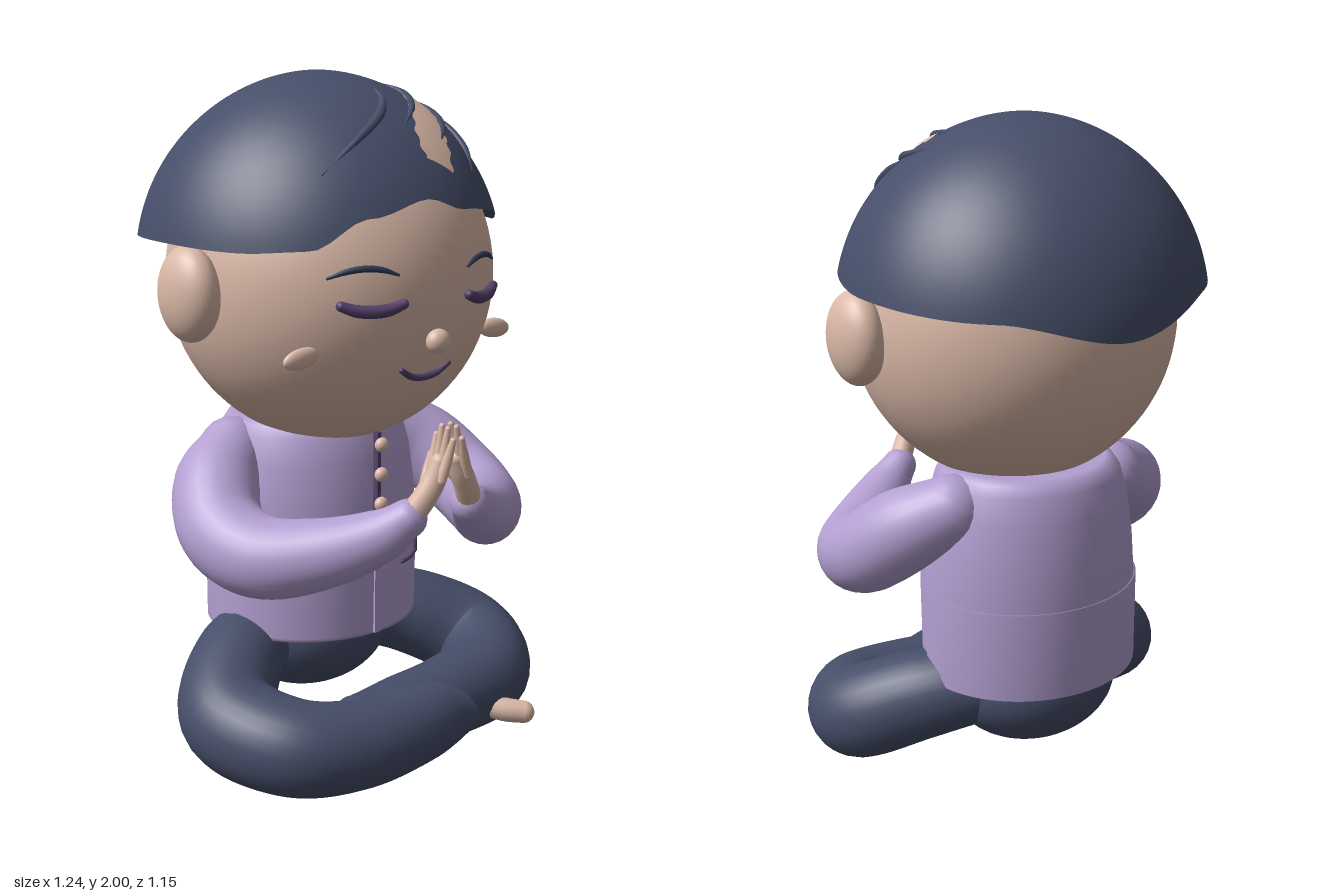
import * as THREE from 'three';
import { mergeGeometries } from 'three/addons/utils/BufferGeometryUtils.js';

const mat = (name, color, side = THREE.FrontSide) => {
  const m = new THREE.MeshStandardMaterial({ color, side });
  m.name = name;
  return m;
};
const V = (p) => new THREE.Vector3(...p);

// Tube along points with a radius per point, rounded at both ends
function sweep(points, radii, segs = 32, sides = 20) {
  const curve = new THREE.CatmullRomCurve3(points.map(V));
  const rad = new THREE.SplineCurve(radii.map((r, i) => new THREE.Vector2(i, r)));
  const g = new THREE.TubeGeometry(curve, segs, 1, sides, false);
  const p = g.attributes.position, n = g.attributes.normal;
  for (let i = 0; i < p.count; i++) {
    const u = Math.floor(i / (sides + 1)) / segs;
    const k = rad.getPoint(curve.getUtoTmapping(u)).y - 1;
    p.setXYZ(i, p.getX(i) + n.getX(i) * k, p.getY(i) + n.getY(i) * k, p.getZ(i) + n.getZ(i) * k);
  }
  const ends = [0, points.length - 1].map((i) =>
    new THREE.SphereGeometry(radii[i], sides, 10).translate(...points[i]));
  return mergeGeometries([g, ...ends]);
}

// Closed rings of points, listed from top to bottom
function rings(rows, cols, fn) {
  const pos = [], idx = [];
  for (let i = 0; i <= rows; i++) for (let j = 0; j < cols; j++) {
    pos.push(...fn(i / rows, (j / cols) * Math.PI * 2));
    if (i === rows) continue;
    const a = i * cols + j, b = i * cols + (j + 1) % cols;
    idx.push(a, a + cols, b, b, a + cols, b + cols);
  }
  const g = new THREE.BufferGeometry();
  g.setAttribute('position', new THREE.Float32BufferAttribute(pos, 3));
  g.setIndex(idx);
  g.computeVertexNormals();
  return g;
}

const ball = (r, at) => new THREE.SphereGeometry(1, 40, 28).scale(...r).translate(...at);

// Head surface depth
const HEAD = { r: [0.48, 0.495, 0.48], c: [0, 1.42, 0] };
const faceZ = (x, y) => 0.48 * Math.sqrt(1 - (x / 0.48) ** 2 - ((y - 1.42) / 0.495) ** 2);

// Hair surface: rim height by [degrees from the front, y]
const RIM = [[0, 1.672], [15, 1.635], [42, 1.61], [62, 1.56], [90, 1.545], [140, 1.53], [180, 1.46],
  [220, 1.53], [270, 1.545], [300, 1.54], [320, 1.55], [338, 1.63], [360, 1.672]];
const rimY = (a) => {
  const d = THREE.MathUtils.radToDeg(a);
  const i = Math.max(1, RIM.findIndex((r) => r[0] >= d));
  const [a0, y0] = RIM[i - 1], [a1, y1] = RIM[i];
  return THREE.MathUtils.lerp(y0, y1, THREE.MathUtils.smoothstep(d, a0, a1));
};
const hairPoint = (v, a) => {
  const t = v * Math.acos((rimY(a) - 1.45) / 0.55);
  const s = Math.sin(t) ** 1.06, c = Math.cos(a);
  return [0.54 * s * Math.sin(a), 1.45 + 0.55 * Math.cos(t), -0.06 + (c > 0 ? 0.545 : 0.515) * s * c];
};
const hairY = (x, z) => {
  const s = Math.min(1, Math.hypot(x / 0.54, (z + 0.06) / (z > -0.06 ? 0.545 : 0.515)));
  return 1.45 + 0.55 * Math.cos(Math.asin(s ** (1 / 1.06)));
};

export function createModel() {
  const root = new THREE.Group();
  root.name = 'seatedFigure';
  const skin = mat('skin', 0xdbb9a8);
  const navy = mat('navy', 0x464e69);
  const lilac = mat('lilac', 0xb39fd1, THREE.DoubleSide);
  const plum = mat('plum', 0x54406a);
  const browInk = mat('browInk', 0x2c3a52);
  const add = (name, geo, material) => {
    const m = new THREE.Mesh(geo, material);
    m.name = name;
    root.add(m);
    return m;
  };

  // Head, nose and mouth
  add('head', new THREE.SphereGeometry(1, 64, 48).scale(...HEAD.r).translate(...HEAD.c), skin);
  add('nose', ball([0.037, 0.035, 0.03], [0, 1.29, 0.485]), skin);
  const onFace = (pts, lift) => pts.map(([x, y]) => [x, y, faceZ(x, y) + lift]);
  add('mouth', sweep(onFace([[-0.085, 1.21], [-0.045, 1.187], [0, 1.18], [0.045, 1.187], [0.085, 1.21]], 0.006),
    [0.008, 0.01, 0.01, 0.01, 0.008], 24, 10), plum);

  // Hair cap, its underside, bare patch and raised locks
  add('hair', rings(32, 96, hairPoint), navy);
  add('hairUnderside', rings(2, 96, (v, a) => {
    const [x, y, z] = hairPoint(1, a), k = 1 - 0.2 * v;
    return [x * k, y + 0.03 * v, (z + 0.06) * k - 0.06];
  }), navy);
  const left = new THREE.SplineCurve([[0.045, 0.375], [0.055, 0.32], [0.1, 0.25], [0.137, 0.18], [0.17, 0.1], [0.215, 0.06]].map((p) => new THREE.Vector2(...p)));
  const right = new THREE.SplineCurve([[0.13, 0.388], [0.165, 0.33], [0.195, 0.27], [0.222, 0.2], [0.245, 0.125], [0.24, 0.06]].map((p) => new THREE.Vector2(...p)));
  const patch = new THREE.PlaneGeometry(1, 1, 8, 36);
  const pp = patch.attributes.position;
  for (let i = 0; i < pp.count; i++) {
    const u = pp.getX(i) + 0.5, v = pp.getY(i) + 0.5;
    const q = left.getPoint(v).lerp(right.getPoint(v), u);
    const x = q.x + 0.005 * Math.sin(v * 47) * Math.abs(2 * u - 1), z = q.y;
    pp.setXYZ(i, x, hairY(x, z) + 0.004, z);
  }
  patch.computeVertexNormals();
  add('scalpPatch', patch, skin);
  const locks = [
    [[0.05, 0.145], [0.03, 0.2], [-0.03, 0.26], [-0.13, 0.3], [-0.265, 0.31]],
    [[0.18, -0.01], [0.19, 0.08], [0.165, 0.15], [0.12, 0.22], [0.04, 0.29]],
    [[0.26, -0.02], [0.28, 0.08], [0.25, 0.18], [0.2, 0.26], [0.13, 0.33]],
    [[0.295, 0.1], [0.305, 0.17], [0.295, 0.25], [0.255, 0.33]],
  ];
  for (const l of locks) {
    const r = l.map((_, i) => 0.003 + 0.011 * Math.sin((Math.PI * i) / (l.length - 1)));
    add('hairLock', sweep(l.map(([x, z]) => [x, hairY(x, z) - 0.001, z]), r, 28, 10), navy);
  }

  // Torso, hem panels and front opening
  const oval = (pts, r, from = 0, len = Math.PI * 2) =>
    new THREE.LatheGeometry(pts.map((p) => new THREE.Vector2(...p)), 64, from, len)
      .scale(0.33 * r, 1, 0.3 * r).translate(0, 0, -0.085);
  add('shirt', oval([[0, 0.36], [0.98, 0.36], [1, 0.35], [1.0, 0.36], [1.01, 0.62], [0.98, 0.76],
    [0.93, 0.88], [0.86, 0.96], [0.8, 0.99], [0.72, 1.003], [0, 1.0]], 1), lilac);
  const rad = THREE.MathUtils.degToRad;
  add('backHem', oval([[0.97, 0.35], [1, 0.35], [1, 0.624], [0.97, 0.624]], 1.03, rad(98), rad(164)), lilac);
  for (const a of [82, 262])
    add('sideVent', oval([[0.98, 0.35], [1, 0.35], [1, 0.624], [0.98, 0.624]], 1.018, rad(a), rad(16)), lilac);
  add('frontHemFold', new THREE.BoxGeometry(0.02, 0.23, 0.008).translate(0.01, 0.468, 0.219), lilac);
  add('frontSeam', new THREE.BoxGeometry(0.012, 0.42, 0.02).translate(0, 0.77, 0.228), plum);
  for (const y of [0.585, 0.67, 0.765, 0.855, 0.945])
    add('button', ball([0.022, 0.022, 0.018], [0, y, 0.248]), skin);

  // Pelvis
  add('pelvis', ball([0.27, 0.19, 0.23], [0, 0.29, -0.11]), navy);

  // Paired parts
  for (const s of [-1, 1]) {
    const flip = (pts) => pts.map(([x, y, z]) => [s * x, y, z]);

    add('ear', ball([0.073, 0.135, 0.116], [s * 0.502, 1.41, 0.02]), skin);
    const cheek = add('cheek', ball([0.06, 0.029, 0.019], [0, 0, 0]), skin);
    cheek.position.set(s * 0.352, 1.262, 0.333);
    cheek.rotation.z = -s * 0.12;
    add('eyelid', sweep(onFace(flip([[0.118, 1.405], [0.155, 1.392], [0.195, 1.388], [0.24, 1.392], [0.275, 1.405]]), 0.012),
      [0.014, 0.017, 0.018, 0.017, 0.014], 20, 10), plum);
    add('eyebrow', sweep(onFace(flip([[0.125, 1.482], [0.165, 1.497], [0.21, 1.502], [0.255, 1.495], [0.297, 1.478]]), 0.003),
      [0.004, 0.008, 0.009, 0.008, 0.004], 20, 8), browInk);

    // Pocket trim
    const cloth = (pts) => flip(pts).map(([x, y]) => [x, y, -0.08 + 0.305 * Math.sqrt(1 - (x / 0.334) ** 2)]);
    add('pocketFlap', sweep(cloth([[0.105, 0.637], [0.16, 0.632], [0.222, 0.638]]), [0.006, 0.006, 0.006], 10, 8), plum);
    add('pocketSide', sweep(cloth([[0.22, 0.62], [0.22, 0.585], [0.22, 0.55]]), [0.005, 0.005, 0.005], 6, 8), plum);
    add('pocketBase', sweep(cloth([[0.22, 0.55], [0.17, 0.547], [0.12, 0.548]]), [0.006, 0.006, 0.006], 10, 8), plum);

    // Sleeve
    add('sleeve', sweep(flip([[0.28, 0.9, -0.11], [0.39, 0.83, -0.03], [0.45, 0.735, 0.09], [0.42, 0.69, 0.23],
      [0.31, 0.71, 0.36], [0.18, 0.765, 0.465], [0.115, 0.81, 0.5]]),
    [0.1, 0.125, 0.125, 0.118, 0.1, 0.075, 0.055], 48, 28), lilac);

    // Hand with four fingers and a thumb
    add('palm', sweep(flip([[0.105, 0.825, 0.51], [0.075, 0.875, 0.528], [0.05, 0.92, 0.535], [0.032, 0.965, 0.535]]),
      [0.036, 0.034, 0.033, 0.026], 16, 14), skin);
    [[0.502, 1.035], [0.524, 1.062], [0.548, 1.058], [0.57, 1.03]].forEach(([z, y], i) => {
      const z0 = 0.515 + i * 0.015;
      add('finger', sweep(flip([[0.05, 0.92, z0], [0.03, 0.98, (z + z0) / 2], [0.016, y, z]]),
        [0.016, 0.014, 0.009], 12, 10), skin);
    });
    add('thumb', sweep(flip([[0.065, 0.89, 0.515], [0.035, 0.935, 0.49], [0.018, 0.975, 0.482]]),
      [0.02, 0.015, 0.01], 12, 10), skin);
  }

  // Crossed legs: one shin passes in front of the other
  add('leftLeg', sweep([[0.16, 0.31, -0.11], [0.34, 0.27, -0.01], [0.475, 0.19, 0.13], [0.4, 0.15, 0.29],
    [0.2, 0.135, 0.335], [0.0, 0.13, 0.33], [-0.14, 0.13, 0.32]],
  [0.12, 0.138, 0.145, 0.137, 0.125, 0.11, 0.09], 56, 28), navy);
  add('rightLeg', sweep([[-0.16, 0.31, -0.11], [-0.34, 0.27, -0.01], [-0.475, 0.19, 0.15], [-0.4, 0.15, 0.35],
    [-0.22, 0.13, 0.415], [0.0, 0.125, 0.41], [0.15, 0.12, 0.38], [0.26, 0.11, 0.38]],
  [0.12, 0.138, 0.145, 0.138, 0.127, 0.115, 0.1, 0.07], 60, 28), navy);
  add('rightFoot', sweep([[0.27, 0.115, 0.4], [0.32, 0.1, 0.46], [0.365, 0.092, 0.495]], [0.035, 0.036, 0.034], 16, 16), skin);
  add('leftFoot', sweep([[-0.14, 0.13, 0.3], [-0.2, 0.11, 0.28], [-0.23, 0.1, 0.29]], [0.04, 0.036, 0.03], 16, 16), skin);
  return root;
}
